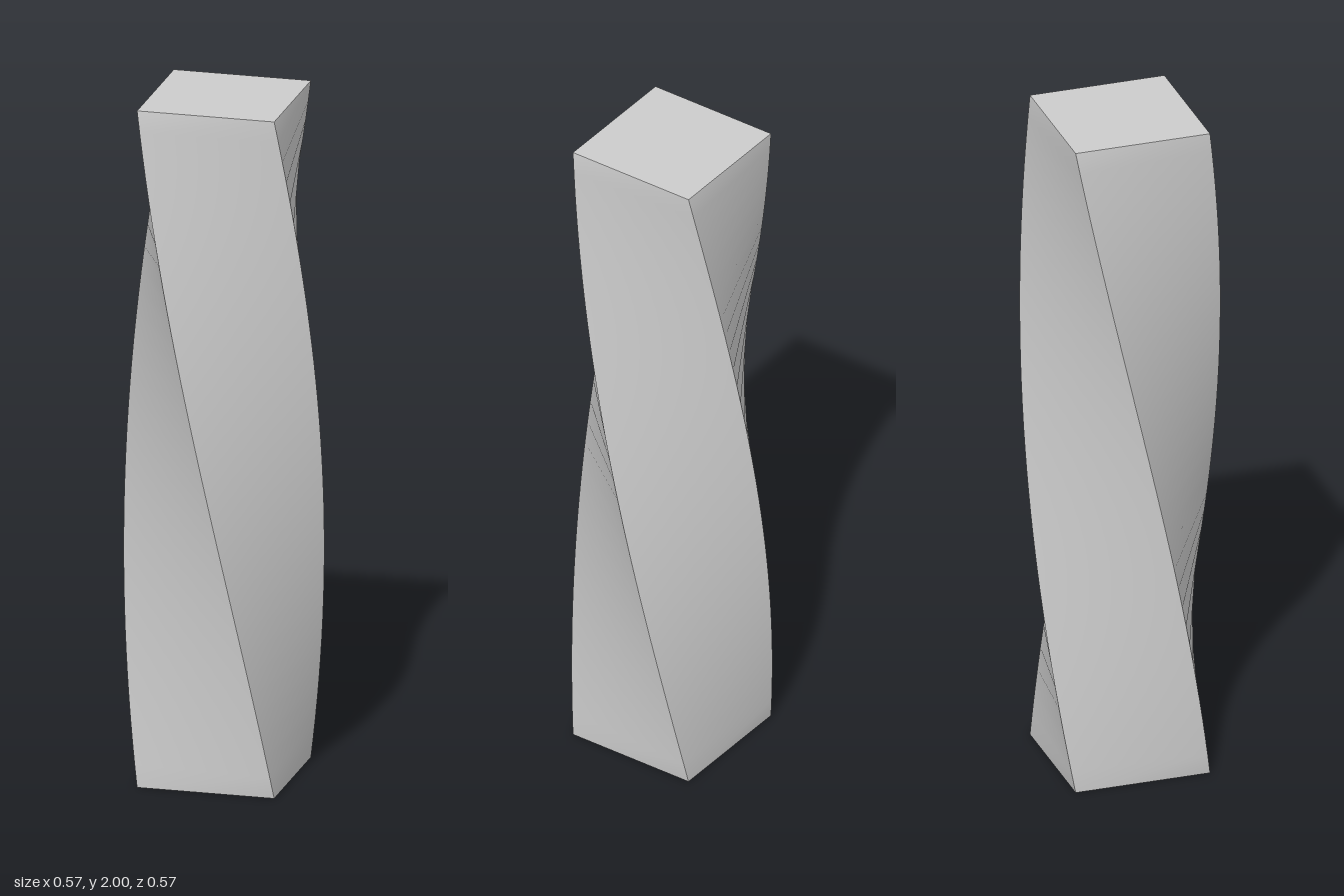
import * as THREE from 'three';

const SIDE = 0.4, HEIGHT = 2, LAYERS = 32, TWIST = -Math.PI / 2;

export function createModel() {
  const group = new THREE.Group();
  group.name = 'twistedColumn';

  // Square prism standing on the ground, cut into layers along its height
  const geometry = new THREE.BoxGeometry(SIDE, HEIGHT, SIDE, 1, LAYERS, 1);
  geometry.translate(0, HEIGHT / 2, 0);

  // Turn each layer in proportion to its height: a quarter turn overall
  const position = geometry.attributes.position;
  const axis = new THREE.Vector3(0, 1, 0);
  const point = new THREE.Vector3();
  for (let i = 0; i < position.count; i++) {
    point.fromBufferAttribute(position, i);
    point.applyAxisAngle(axis, (TWIST * point.y) / HEIGHT);
    position.setXYZ(i, point.x, point.y, point.z);
  }
  // Sides shade smoothly; their shared edges and the caps stay sharp
  geometry.computeVertexNormals();

  const column = new THREE.Mesh(geometry, new THREE.MeshStandardMaterial({ color: 0xcccccc }));
  column.name = 'column';
  group.add(column);
  return group;
}
